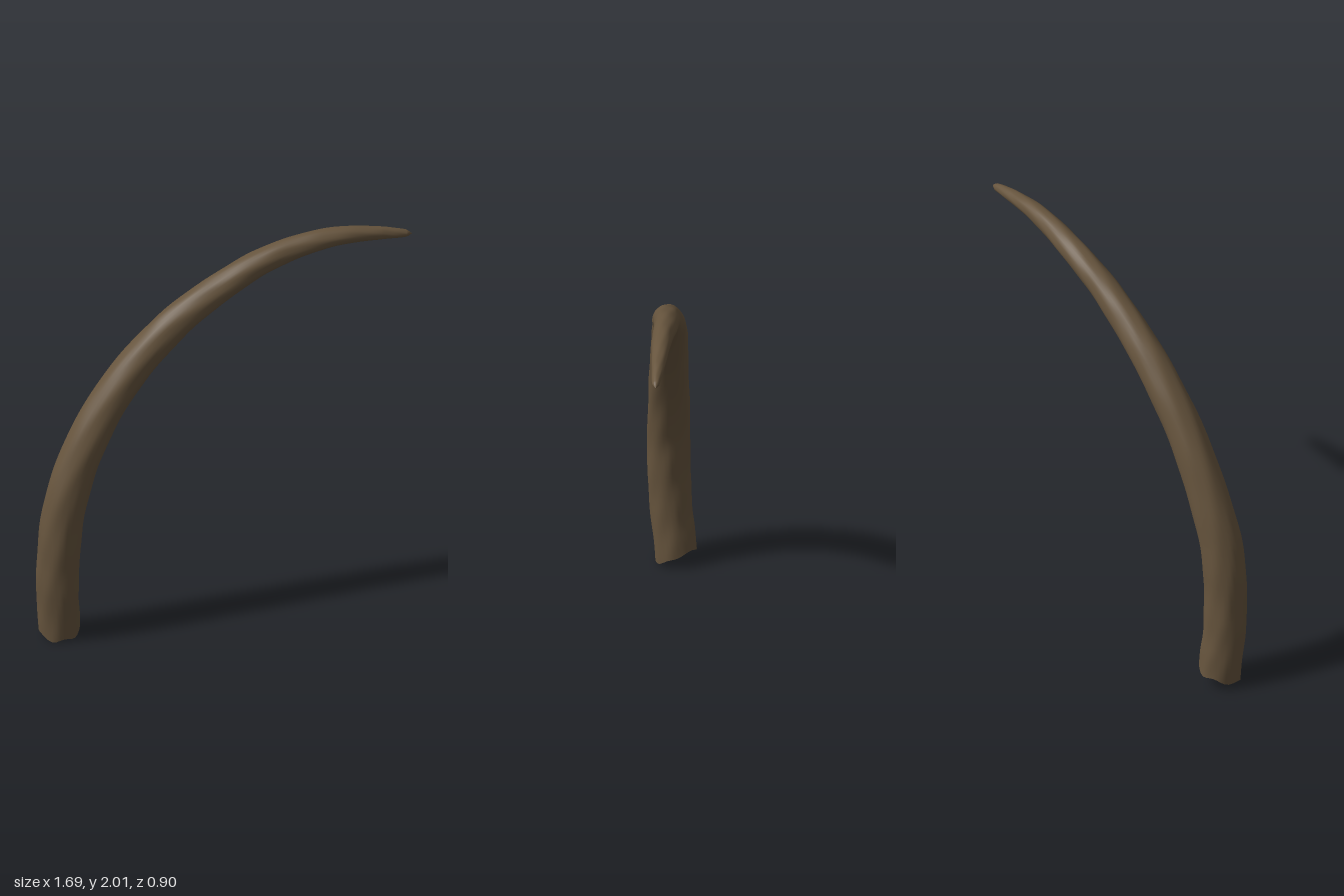
import * as THREE from 'three';
import { ParametricGeometry } from 'three/addons/geometries/ParametricGeometry.js';

// Centreline stations from the root to the tip: x, y, z, radius
const stations = [
  [-0.725, 0.03, -0.355, 0.1],
  [-0.748, 0.38, -0.335, 0.103],
  [-0.71, 0.77, -0.31, 0.102],
  [-0.535, 1.2, -0.238, 0.093],
  [-0.265, 1.555, -0.118, 0.083],
  [0, 1.765, 0.01, 0.071],
  [0.25, 1.893, 0.125, 0.06],
  [0.5, 1.95, 0.26, 0.047],
  [0.7, 1.94, 0.368, 0.032],
  [0.815, 1.92, 0.43, 0.018],
  [0.843, 1.914, 0.444, 0],
];
const path = new THREE.CatmullRomCurve3(stations.map(([x, y, z]) => new THREE.Vector3(x, y, z)));
const radii = new THREE.CatmullRomCurve3(stations.map((s, i) => new THREE.Vector3(s[3], i * 0.2, 0)));
const planeNormal = new THREE.Vector3(-0.44, 0, 0.9).normalize();

// Point on the skin at angle a and path parameter t; scale shrinks the section
function skinPoint(a, t, scale, target) {
  const centre = path.getPoint(t);
  const tangent = path.getTangent(t);
  const side = planeNormal.clone().addScaledVector(tangent, -planeNormal.dot(tangent)).normalize();
  const out = new THREE.Vector3().crossVectors(side, tangent);
  // gentle lumps and growth rings
  const lumps = 0.014 * Math.sin(3 * a + 31 * t) + 0.01 * Math.sin(7 * a - 57 * t)
    + 0.01 * Math.sin(95 * t + 2 * Math.sin(a));
  const r = Math.max(0, radii.getPoint(t).x) * scale * (1 + lumps);
  const dir = out.multiplyScalar(Math.cos(a)).addScaledVector(side, Math.sin(a));
  target.copy(centre).addScaledVector(dir, r);
  // ragged rim: low at the front, notched on the inner side
  const ragged = 0.015 * dir.x - 0.02 * dir.z + 0.008 * Math.sin(5 * a)
    + 0.022 * Math.exp(-8 * (1 - dir.x));
  target.y += ragged * Math.max(0, 1 - t / 0.06);
}

export function createModel() {
  const group = new THREE.Group();
  const tau = Math.PI * 2;

  // Tapering curved outer skin
  const outer = new ParametricGeometry(
    (u, v, p) => skinPoint(u * tau, Math.min(v, 1), 1, p), 32, 160);
  const tusk = new THREE.Mesh(outer, new THREE.MeshStandardMaterial({ color: 0x66543d, roughness: 0.8 }));
  tusk.name = 'tusk';
  group.add(tusk);

  // Hollow root: a dark cone running up inside the open end
  const inner = new ParametricGeometry(
    (u, v, p) => skinPoint(-u * tau, v * 0.08, 1 - 0.06 * Math.min(1, v * 12) - 0.94 * v ** 3, p), 32, 14);
  const cavity = new THREE.Mesh(inner, new THREE.MeshStandardMaterial({
    color: 0x1a1510, roughness: 1, side: THREE.DoubleSide,
  }));
  cavity.name = 'rootCavity';
  group.add(cavity);

  return group;
}
